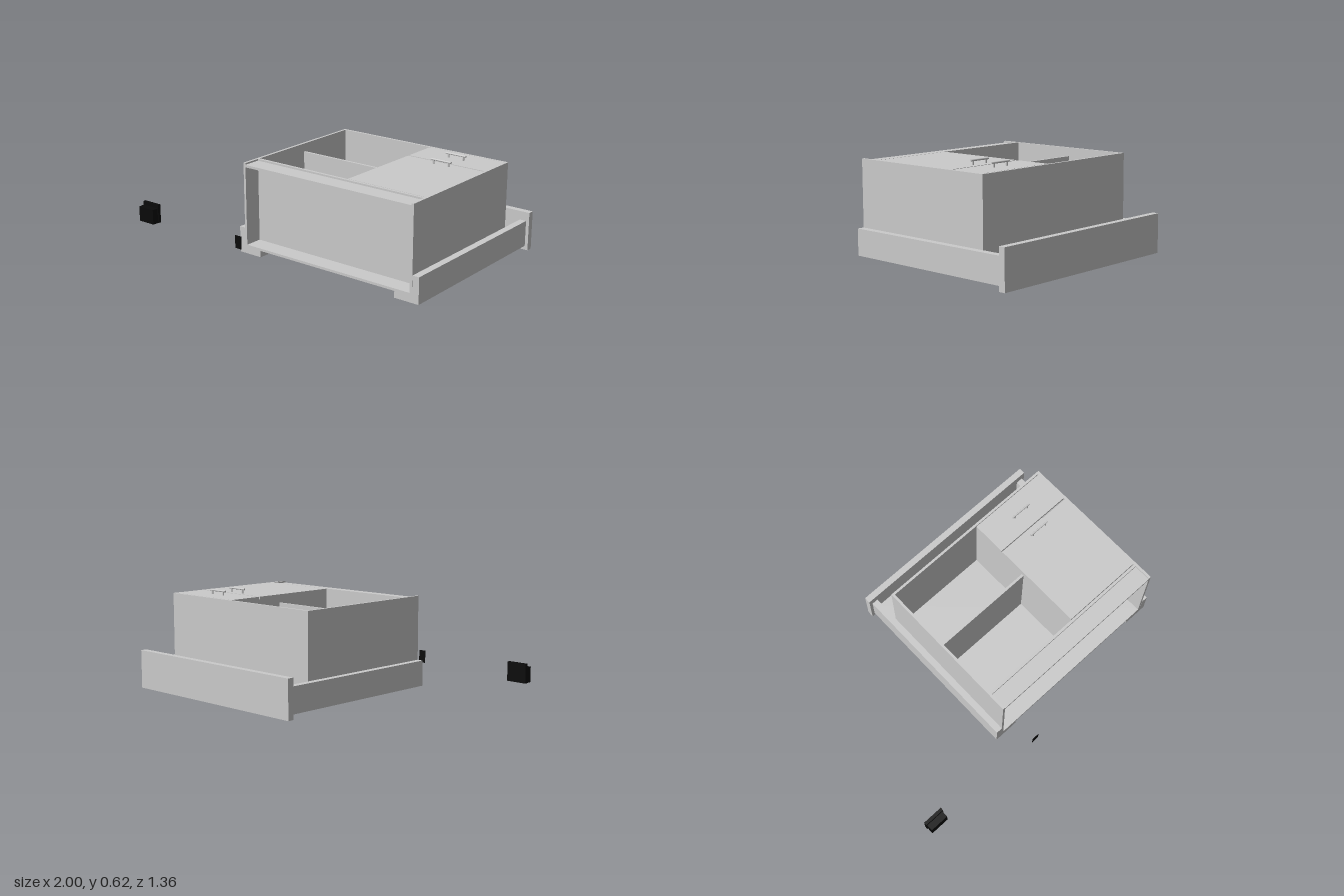
import * as THREE from 'three';

const grey = new THREE.MeshStandardMaterial({ color: 0xcccccc });
const black = new THREE.MeshStandardMaterial({ color: 0x0a0a0a });
const blackSheet = new THREE.MeshStandardMaterial({ color: 0x0a0a0a, side: THREE.DoubleSide });

// Box given by its extents on each axis
function board(parent, name, [x0, x1], [y0, y1], [z0, z1], material = grey) {
  const mesh = new THREE.Mesh(new THREE.BoxGeometry(x1 - x0, y1 - y0, z1 - z0), material);
  mesh.position.set((x0 + x1) / 2, (y0 + y1) / 2, (z0 + z1) / 2);
  mesh.name = name;
  parent.add(mesh);
}

function group(parent, name) {
  const g = new THREE.Group();
  g.name = name;
  parent.add(g);
  return g;
}

// Bar handle on two round posts
function handle(parent, z) {
  const g = group(parent, 'handle');
  for (const x of [0.61, 0.712]) {
    const post = new THREE.Mesh(new THREE.CylinderGeometry(0.006, 0.006, 0.026, 12), grey);
    post.position.set(x, 0.601, z);
    post.name = 'handlePost';
    g.add(post);
  }
  const bar = new THREE.Mesh(new THREE.CylinderGeometry(0.006, 0.006, 0.14, 12), grey);
  bar.rotation.z = Math.PI / 2;
  bar.position.set(0.66, 0.614, z);
  bar.name = 'handleBar';
  g.add(bar);
}

export function createModel() {
  const model = new THREE.Group();
  model.name = 'cabinetOnBase';

  // Base tray with a U section, stepped underside and end plate
  const base = group(model, 'base');
  const profile = new THREE.Shape([
    [-0.31, 0.025], [-0.15, 0.025], [-0.15, 0.065], [0.82, 0.065], [0.82, 0.025], [0.98, 0.025],
    [0.98, 0.185], [0.937, 0.185], [0.937, 0.08], [-0.27, 0.08], [-0.27, 0.185], [-0.31, 0.185],
  ].map(([x, y]) => new THREE.Vector2(x, y)));
  const tray = new THREE.Mesh(
    new THREE.ExtrudeGeometry(profile, { depth: 1.14, bevelEnabled: false }), grey);
  tray.position.z = -0.64;
  tray.name = 'tray';
  base.add(tray);
  board(base, 'endPlate', [-0.33, 1.0], [0, 0.24], [-0.68, -0.64]);

  // Cabinet carcass lying on its back
  const cabinet = group(model, 'cabinet');
  const height = [0.08, 0.588];
  board(cabinet, 'sidePanel', [-0.27, -0.255], height, [-0.465, 0.5]);
  board(cabinet, 'sidePanel', [0.92, 0.936], height, [-0.465, 0.5]);
  board(cabinet, 'topPanel', [-0.255, 0.92], height, [-0.465, -0.45]);
  board(cabinet, 'bottomPanel', [-0.255, 0.92], height, [0.374, 0.39]);
  board(cabinet, 'kickBoard', [-0.255, 0.92], [0.562, 0.577], [0.39, 0.5]);
  board(cabinet, 'divider', [0.403, 0.418], [0.08, 0.572], [-0.45, 0.374]);
  board(cabinet, 'shelf', [-0.255, 0.403], [0.08, 0.535], [-0.05, -0.035]);

  // Door and drawer front with their handles
  board(cabinet, 'drawerFront', [0.4, 0.92], [0.572, 0.588], [-0.447, -0.226]);
  board(cabinet, 'door', [0.4, 0.92], [0.572, 0.588], [-0.215, 0.37]);
  for (const z of [-0.332, -0.173]) handle(cabinet, z);

  // Small black fitting standing apart, with a taller back plate
  const fitting = group(model, 'fitting');
  board(fitting, 'fittingPlate', [-1, -0.87], [0.118, 0.235], [0.615, 0.635], black);
  board(fitting, 'fittingBody', [-0.995, -0.875], [0.118, 0.212], [0.635, 0.675], black);

  // Thin black tag
  const tag = new THREE.Mesh(new THREE.PlaneGeometry(0.05, 0.08), blackSheet);
  tag.position.set(-0.16, 0.17, 0.678);
  tag.name = 'tag';
  model.add(tag);

  return model;
}
